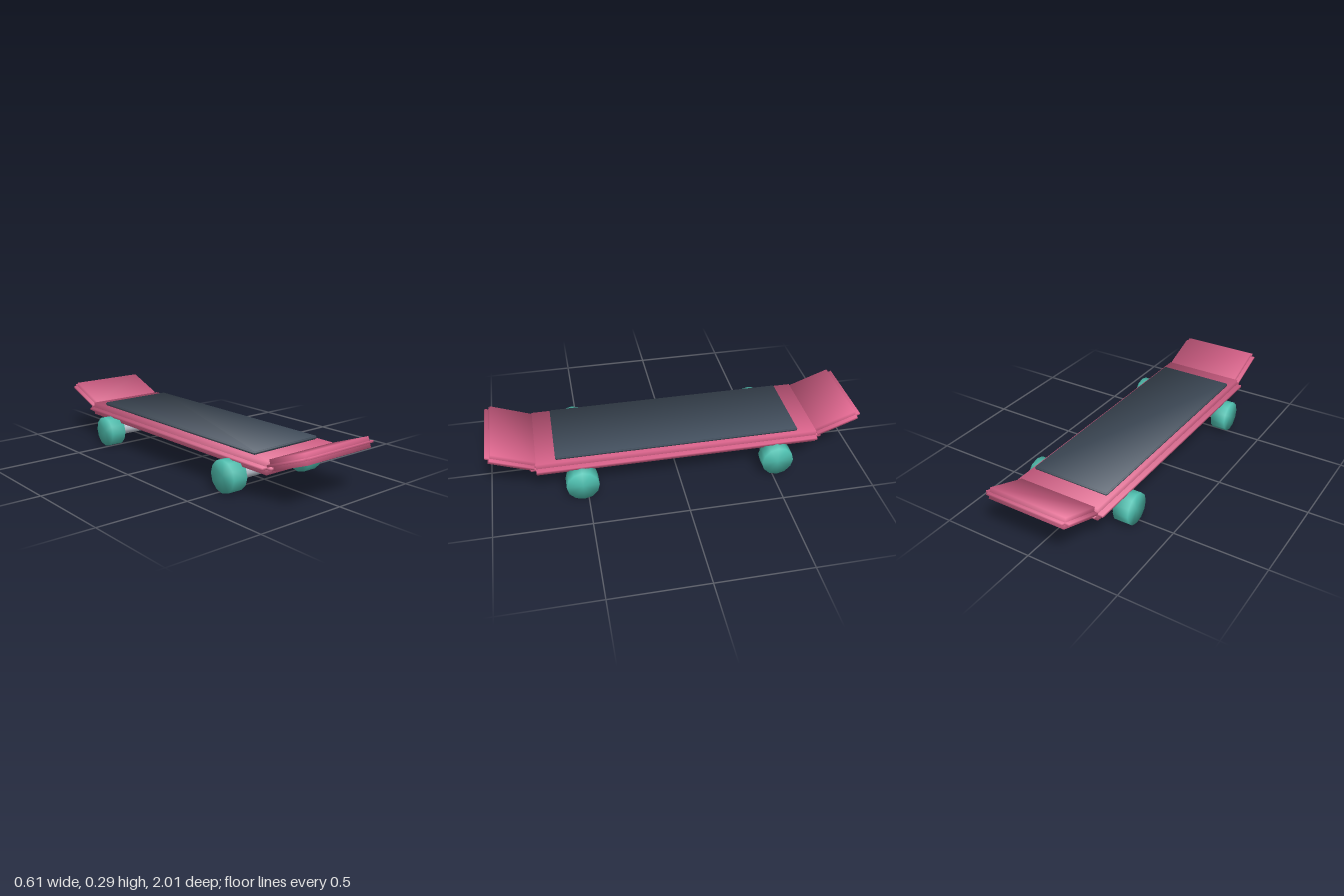
import * as THREE from 'three';
import { mergeVertices } from 'three/addons/utils/BufferGeometryUtils.js';

// Box whose corner normals point diagonally outward, for soft shading.
function softBox(w, h, d) {
  const g = new THREE.BoxGeometry(w, h, d);
  const p = g.attributes.position;
  const n = g.attributes.normal;
  const k = 1 / Math.sqrt(3);
  for (let i = 0; i < p.count; i++) {
    n.setXYZ(i, Math.sign(p.getX(i)) * k, Math.sign(p.getY(i)) * k, Math.sign(p.getZ(i)) * k);
  }
  return g;
}

// Cylinder along x, with normals shared between the side and the caps.
function softCylinder(radius, length, sides) {
  const g = new THREE.CylinderGeometry(radius, radius, length, sides);
  g.rotateZ(Math.PI / 2);
  g.deleteAttribute('normal');
  g.deleteAttribute('uv');
  const merged = mergeVertices(g, 1e-4);
  merged.computeVertexNormals();
  return merged;
}

// Slab with stepped edges: a thick core, a thin wide layer and a thin long layer.
// x, y, z are half sizes; each edge steps in by r.
function steppedSlab(name, x, y, z, r, material) {
  const group = new THREE.Group();
  group.name = name;
  const thin = Math.abs(y - r);
  const layers = [
    ['Core', x - r, y, z - r],
    ['SideLip', x, thin, z - r],
    ['EndLip', x - r, thin, z],
  ];
  for (const [part, hx, hy, hz] of layers) {
    const mesh = new THREE.Mesh(softBox(hx * 2, hy * 2, hz * 2), material);
    mesh.name = name + part;
    group.add(mesh);
  }
  return group;
}

export function createModel() {
  const mat = (name, color) => {
    const m = new THREE.MeshStandardMaterial({ color });
    m.name = name;
    return m;
  };
  const pink = mat('pink deck', 0xe0668f);
  const slate = mat('slate grip', 0x465362);
  const brass = mat('brass rail', 0xc9a240);
  const silver = mat('silver axle', 0xbcc3cf);
  const teal = mat('teal wheel', 0x4fc0b0);

  const model = new THREE.Group();
  model.name = 'skateboard';

  // Flat deck, grip sheet on top and rail underneath
  const deck = steppedSlab('deck', 0.262, 0.0345, 0.782, 0.028, pink);
  deck.position.y = 0.172;
  const grip = steppedSlab('grip', 0.217, 0.009, 0.652, 0.005, slate);
  grip.position.y = 0.216;
  const rail = steppedSlab('rail', 0.077, 0.009, 0.712, 0.006, brass);
  rail.position.y = 0.137;
  model.add(deck, grip, rail);

  const axleGeometry = softCylinder(0.036, 0.442, 12);
  const wheelGeometry = softCylinder(0.0855, 0.085, 12);

  for (const end of [1, -1]) {
    const label = end > 0 ? 'front' : 'back';

    // Upturned end
    const kick = steppedSlab(label + 'Kick', 0.24, 0.028, 0.139, 0.0225, pink);
    kick.position.set(0, 0.226, 0.871 * end);
    kick.rotation.x = -0.36 * end;
    model.add(kick);

    // Axle with a wheel at each side
    const axle = new THREE.Mesh(axleGeometry, silver);
    axle.name = label + 'Axle';
    axle.position.set(0, 0.0855, 0.525 * end);
    model.add(axle);
    for (const side of [1, -1]) {
      const wheel = new THREE.Mesh(wheelGeometry, teal);
      wheel.name = label + (side > 0 ? 'Left' : 'Right') + 'Wheel';
      wheel.position.set(0.2625 * side, 0.0855, 0.525 * end);
      model.add(wheel);
    }
  }
  return model;
}
